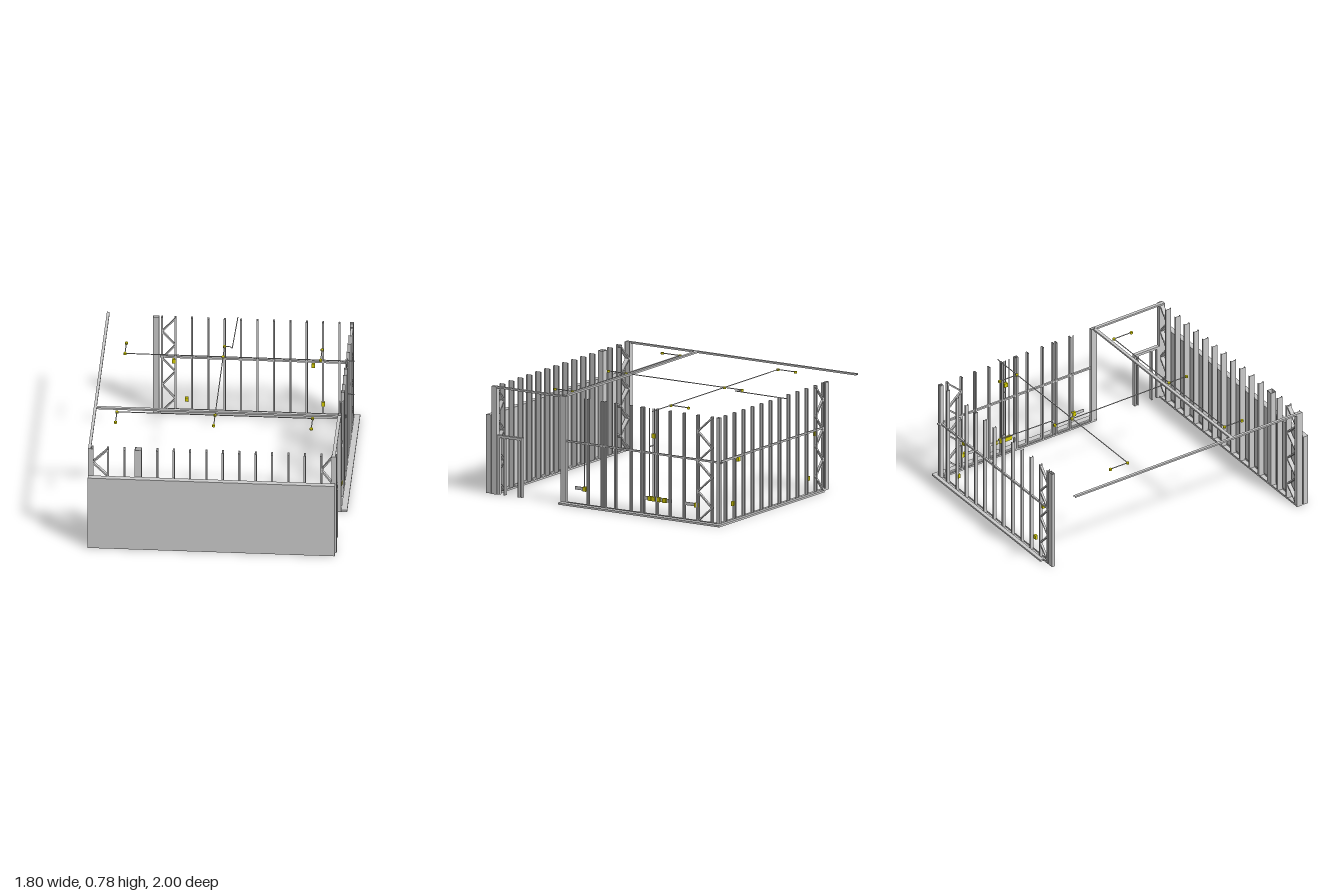
import * as THREE from 'three';

const STEEL = new THREE.MeshStandardMaterial({ color: 0xcccccc, side: THREE.DoubleSide });
const YELLOW = new THREE.MeshStandardMaterial({ color: 0xd8d000 });
const H = 0.782; // wall height
const T = 0.0022; // sheet thickness

// U section: web along the bottom, open upward, run along z and centred
function channelGeometry(width, height, length) {
  const w = width / 2;
  const s = new THREE.Shape([
    [-w, 0], [w, 0], [w, height], [w - T, height],
    [w - T, T], [-w + T, T], [-w + T, height], [-w, height],
  ].map(([x, y]) => new THREE.Vector2(x, y)));
  return new THREE.ExtrudeGeometry(s, { depth: length, bevelEnabled: false }).translate(0, 0, -length / 2);
}

function add(parent, name, geometry, x, y, z, material = STEEL) {
  const m = new THREE.Mesh(geometry, material);
  m.name = name;
  m.position.set(x, y, z);
  parent.add(m);
  return m;
}

const box = (parent, name, x0, x1, y0, y1, z0, z1, material) =>
  add(parent, name, new THREE.BoxGeometry(x1 - x0, y1 - y0, z1 - z0),
    (x0 + x1) / 2, (y0 + y1) / 2, (z0 + z1) / 2, material);

// Horizontal U track between two ends along x or z; down = opens downward
function track(parent, name, axis, a, b, across, y, width, height, down = false) {
  const g = channelGeometry(width, height, b - a);
  if (down) g.rotateZ(Math.PI).translate(0, height, 0);
  if (axis === 'x') g.rotateY(Math.PI / 2);
  const mid = (a + b) / 2;
  return add(parent, name, g, axis === 'x' ? mid : across, y, axis === 'x' ? across : mid);
}

// Wall built in local coordinates: u along the wall, y up, v across it
function wall(name, depth) {
  const g = new THREE.Group();
  g.name = name;
  const studGeometry = channelGeometry(depth, 0.013, H).rotateX(Math.PI / 2).rotateY(Math.PI / 2);
  return {
    group: g,
    stud: (u) => add(g, 'stud', studGeometry, u - 0.0065, H / 2, 0),
    post: (u0, u1) => {
      const p = new THREE.Group();
      p.name = 'post';
      add(p, 'postHalf', channelGeometry(depth, (u1 - u0) / 2, H)
        .rotateX(Math.PI / 2).rotateY(Math.PI / 2), u0, H / 2, 0);
      add(p, 'postHalf', channelGeometry(depth, (u1 - u0) / 2, H)
        .rotateX(Math.PI / 2).rotateY(-Math.PI / 2), u1, H / 2, 0);
      g.add(p);
    },
    // two chords with zigzag bracing between them
    truss: (u0, u1) => {
      const n = 7, step = (H - 0.02) / n;
      for (const u of [u0, u1]) add(g, 'trussChord', studGeometry, u - 0.0065, H / 2, 0);
      for (let i = 0; i < n; i++) {
        const up = i % 2 ? -1 : 1, du = (u1 - u0) * up;
        const brace = add(g, 'trussBrace', new THREE.BoxGeometry(Math.hypot(du, step), 0.010, depth * 0.7),
          (u0 + u1) / 2, 0.01 + (i + 0.5) * step, 0);
        brace.rotation.z = Math.atan2(step, du);
      }
    },
  };
}

function pipe(parent, name, points, r = 0.0035) {
  const path = new THREE.CurvePath();
  const p = points.map((q) => new THREE.Vector3(...q));
  for (let i = 1; i < p.length; i++) path.add(new THREE.LineCurve3(p[i - 1], p[i]));
  add(parent, name, new THREE.TubeGeometry(path, (p.length - 1) * 6, r, 8), 0, 0, 0);
}

function frontWall() {
  const w = wall('frontWall', 0.044), g = w.group;
  g.position.z = 0.928;
  track(g, 'bottomTrack', 'x', -0.9, 0.855, 0, 0, 0.046, 0.014);
  for (let i = 0; i < 14; i++) if (i !== 2) w.stud(-0.76 + i * 0.1165);
  w.stud(0.172);
  w.truss(-0.87, -0.76);
  w.truss(0.755, 0.835);
  w.post(-0.9, -0.875);
  w.post(0.84, 0.865);
  w.post(-0.57, -0.52);
  // outer cladding up to three quarters height
  box(g, 'claddingPanel', -0.9, 0.855, 0, 0.57, 0.032, 0.072);
  return g;
}

function backWall() {
  const w = wall('backWall', 0.024), g = w.group;
  g.position.z = -0.96;
  track(g, 'bottomTrack', 'x', -0.52, 0.855, 0, 0, 0.026, 0.014);
  box(g, 'outerLedge', -0.465, 0.9, 0, 0.014, -0.04, -0.013);
  for (let i = 0; i < 12; i++) w.stud(-0.41 + i * 0.1165 - (i === 11 ? 0.03 : 0));
  w.truss(-0.505, -0.41);
  w.post(-0.57, -0.525);
  w.post(0.83, 0.855);
  track(g, 'midRail', 'x', -0.52, 0.85, 0, 0.45, 0.014, 0.013, true);
  for (const [x, y] of [[0.57, 0.43], [0.64, 0.12], [-0.42, 0.43], [-0.33, 0.12]])
    box(g, 'outletBox', x - 0.012, x + 0.012, y - 0.016, y + 0.016, 0.002, 0.02, YELLOW);
  return g;
}

function rightWall() {
  // local u runs toward the back: u = -z
  const w = wall('rightWall', 0.026), g = w.group;
  g.rotation.y = Math.PI / 2;
  g.position.x = 0.845;
  track(g, 'bottomTrack', 'x', -0.365, 0.99, 0, 0, 0.028, 0.014);
  box(g, 'outerLedge', -0.365, 1.0, 0, 0.014, 0.013, 0.055);
  w.post(-0.37, -0.323);
  for (const u of [-0.145, -0.025, 0, 0.09, 0.22, 0.31, 0.325, 0.44, 0.55, 0.667, 0.97]) w.stud(u);
  w.truss(0.785, 0.905);
  track(g, 'midRail', 'x', -0.33, 0.99, 0, 0.45, 0.014, 0.013, true);
  // electrical brackets, boxes and conduits
  for (const [a, b] of [[-0.26, -0.155], [0.325, 0.55], [0.675, 0.785]])
    box(g, 'boxBracket', a, b, 0.112, 0.136, -0.009, -0.005);
  for (const [u, y] of [[-0.175, 0.124], [0.375, 0.124], [0.405, 0.124], [0.45, 0.124], [0.50, 0.124], [0.77, 0.124], [0.41, 0.582]])
    box(g, 'outletBox', u - 0.014, u + 0.014, y - 0.016, y + 0.016, -0.016, 0.006, YELLOW);
  for (const u of [-0.175, 0.375, 0.405, 0.418, 0.45])
    pipe(g, 'conduit', [[u, 0.13, 0], [u, H, 0]], 0.004);
  pipe(g, 'wallOutletPipe', [[0.41, 0.515, 0], [0.41, 0.515, 0.055]], 0.005);
  return g;
}

function doorFrame() {
  const g = new THREE.Group();
  g.name = 'doorFrame';
  for (const [a, b] of [[0.695, 0.708], [0.72, 0.732], [0.84, 0.852], [0.885, 0.905]])
    box(g, 'jamb', 0.832, 0.858, 0, 0.415, a, b);
  box(g, 'header', 0.832, 0.858, 0.413, 0.432, 0.695, 0.908);
  return g;
}

function ceilingBeams() {
  const g = new THREE.Group();
  g.name = 'ceilingBeams';
  track(g, 'leftBeam', 'z', -1, 0.95, -0.89, 0.77, 0.02, 0.013, true);
  track(g, 'crossBeam', 'x', -0.9, 0.835, 0.353, 0.77, 0.024, 0.013, true);
  track(g, 'rightBeam', 'z', 0.36, 0.95, 0.844, 0.77, 0.024, 0.013, true);
  return g;
}

function sprinklers() {
  const g = new THREE.Group();
  g.name = 'sprinklerSystem';
  const y = 0.773, xs = [-0.733, -0.036, 0.657];
  pipe(g, 'rearBranch', [[xs[0], y, -0.435], [0.9, y, -0.435]]);
  pipe(g, 'frontBranch', [[xs[0], y, 0.397], [xs[2], y, 0.397]]);
  pipe(g, 'mainPipe', [[xs[1], y, -0.435], [xs[1], y, 0.397]]);
  pipe(g, 'supplyPipe', [[xs[1], y, -0.583], [0, y, -0.583], [0.016, y, -0.573], [0.02, y, -0.55], [0.03, y, -1]]);
  const head = new THREE.CylinderGeometry(0.011, 0.011, 0.014, 12);
  for (const x of xs)
    for (const [a, b] of [[-0.435, -0.583], [0.397, 0.545]]) {
      pipe(g, 'armPipe', [[x, y, a], [x, y, b]]);
      for (const z of [a, b]) add(g, 'sprinklerHead', head, x, y - 0.002, z, YELLOW);
    }
  return g;
}

export function createModel() {
  const model = new THREE.Group();
  model.name = 'roomFraming';
  model.add(frontWall(), backWall(), rightWall(), doorFrame(), ceilingBeams(), sprinklers());
  return model;
}
